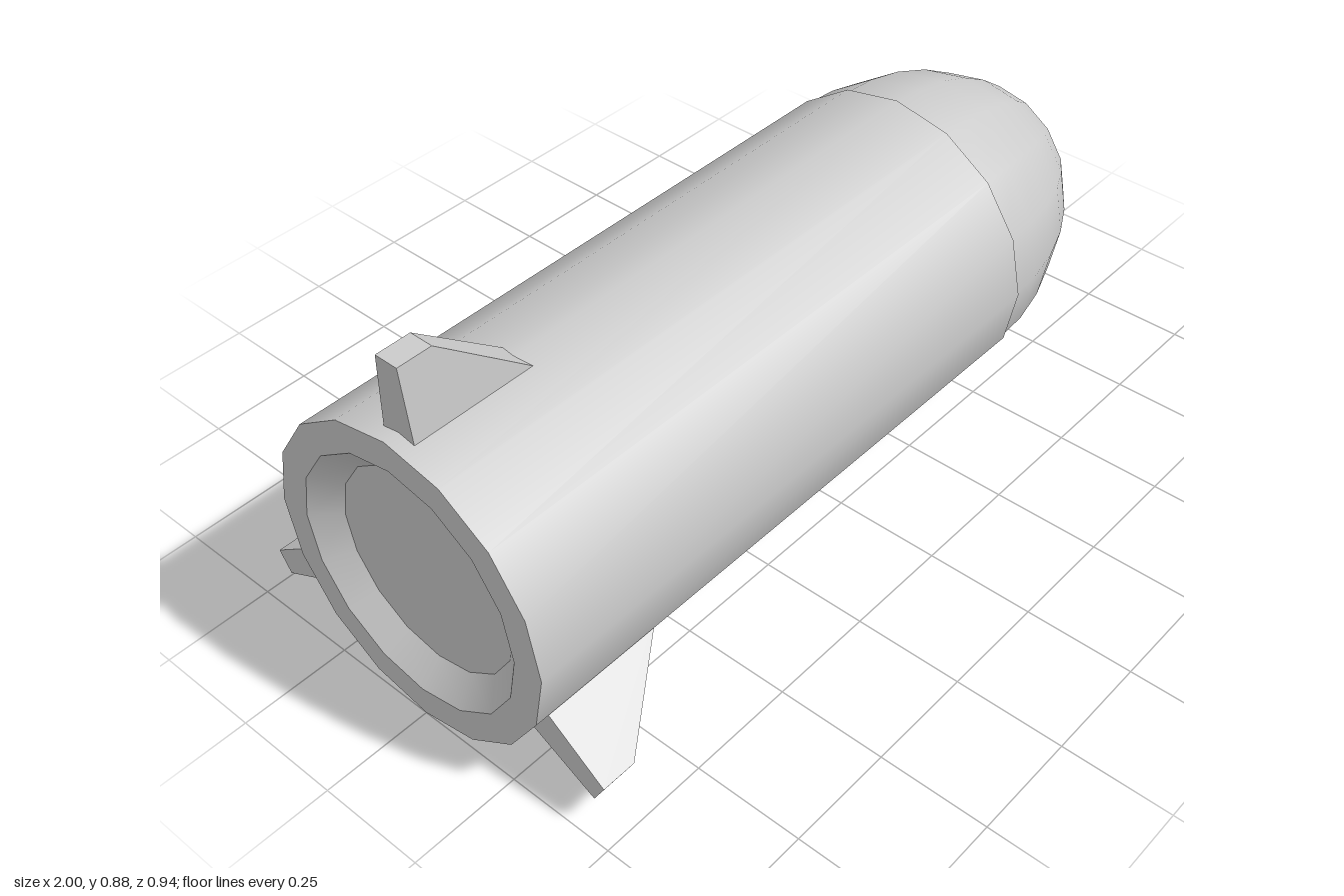
import * as THREE from 'three';

const SIDES = 16;
const AXIS_Y = 0.36;

export function createModel() {
  const model = new THREE.Group();
  const material = new THREE.MeshStandardMaterial({ color: 0xcccccc });

  // Surface of revolution about the x axis; profile points are [radius, x], tail to nose
  function revolve(name, profile) {
    const points = profile.map(([r, x]) => new THREE.Vector2(r, x));
    const geometry = new THREE.LatheGeometry(points, SIDES);
    geometry.rotateZ(-Math.PI / 2);
    const mesh = new THREE.Mesh(geometry, material);
    mesh.name = name;
    mesh.position.y = AXIS_Y;
    model.add(mesh);
  }

  // Hull: separate pieces keep their shared edges sharp
  revolve('tailRecessFloor', [[0, -0.95], [0.235, -0.95]]);
  revolve('tailRecessWall', [[0.235, -0.95], [0.29, -1]]);
  revolve('tailRim', [[0.29, -1], [0.36, -1]]);
  revolve('body', [[0.36, -1], [0.36, 0.477]]);
  revolve('noseSeam', [[0.36, 0.477], [0.354, 0.481]]);
  revolve('noseCone', [
    [0.354, 0.481], [0.349, 0.56], [0.33, 0.65], [0.297, 0.74], [0.254, 0.82],
    [0.204, 0.89], [0.146, 0.95], [0.09, 0.985], [0.04, 1], [0, 1],
  ]);

  // Fin: a box tapered towards its tip, its root buried in the hull
  const root = { y: 0.33, back: -0.965, front: -0.65, half: 0.0425 };
  const tip = { y: 0.525, back: -0.97, front: -0.89, half: 0.028 };
  const finGeometry = new THREE.BoxGeometry(1, 1, 1);
  const pos = finGeometry.attributes.position;
  for (let i = 0; i < pos.count; i++) {
    const end = pos.getY(i) > 0 ? tip : root;
    pos.setXYZ(i, pos.getX(i) > 0 ? end.front : end.back, end.y, Math.sign(pos.getZ(i)) * end.half);
  }
  const flatFin = finGeometry.toNonIndexed();
  flatFin.computeVertexNormals();

  // Three fins evenly spaced around the tail
  ['topFin', 'frontFin', 'backFin'].forEach((name, i) => {
    const fin = new THREE.Mesh(flatFin, material);
    fin.name = name;
    fin.position.y = AXIS_Y;
    fin.rotation.x = (i * Math.PI * 2) / 3;
    model.add(fin);
  });

  return model;
}
